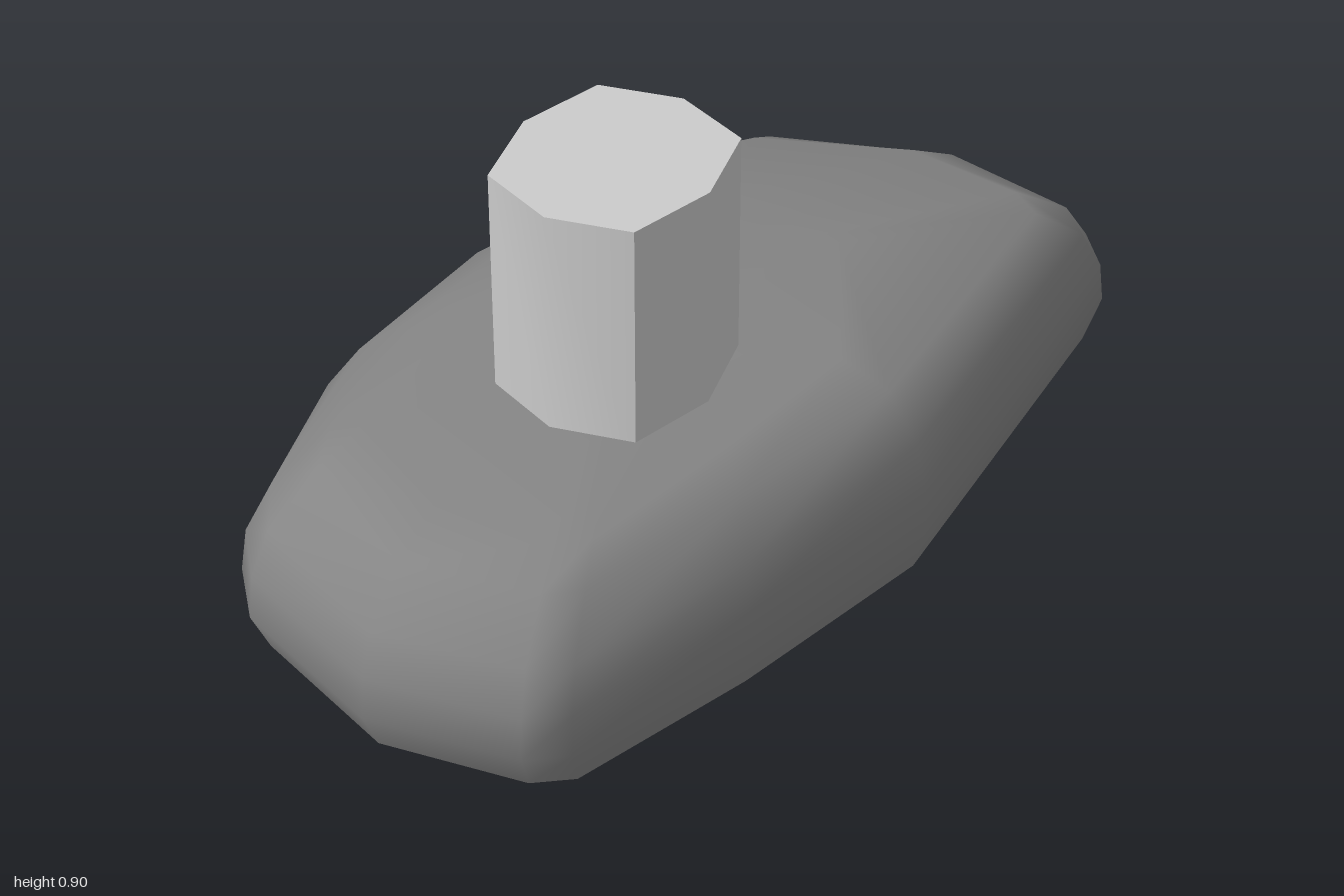
import * as THREE from 'three';
import { toCreasedNormals } from 'three/addons/utils/BufferGeometryUtils.js';

// Widest outline of the base: x, z, shoulder scale, shoulder height, top-edge scale
const OUTLINE = [
  [0.12, -1.0, 0.78, 0.345, 0.31],
  [0.44, -0.94, 0.8, 0.355, 0.34],
  [0.52, -0.85, 0.82, 0.365, 0.37],
  [0.59, 0.0, 0.84, 0.4, 0.66],
  [0.49, 0.47, 0.85, 0.385, 0.72],
  [0.37, 0.87, 0.86, 0.37, 0.78],
  [0.3, 0.93, 0.86, 0.37, 0.78],
  [0.0, 1.0, 0.87, 0.37, 0.76],
  [-0.34, 0.9, 0.83, 0.37, 0.72],
  [-0.44, 0.8, 0.78, 0.365, 0.62],
  [-0.59, 0.36, 0.7, 0.36, 0.46],
  [-0.59, -0.08, 0.68, 0.36, 0.45],
  [-0.41, -0.68, 0.72, 0.355, 0.4],
  [-0.27, -0.84, 0.75, 0.35, 0.35],
];
const TOP = 0.43;

// Scale and height of each ring at one outline corner, from the ground up
function cornerProfile(shoulder, height, topScale) {
  const upper = (1 + shoulder) / 2 + 0.03;
  return [
    [0.96, 0],
    [1, height * 0.25],
    [1 - (1 - upper) * 0.2, height * 0.5],
    [upper, height * 0.75],
    [shoulder, height],
    [topScale, TOP],
  ];
}

function baseGeometry() {
  const n = OUTLINE.length, rings = 6;
  const pos = [], index = [];
  const profiles = OUTLINE.map(([, , s, h, t]) => cornerProfile(s, h, t));
  for (let k = 0; k < rings; k++) {
    OUTLINE.forEach(([x, z], i) => {
      const [s, y] = profiles[i][k];
      pos.push(x * s, y, z * s);
    });
  }
  // Rounded sides
  for (let k = 0; k < rings - 1; k++) {
    for (let i = 0; i < n; i++) {
      const j = (i + 1) % n;
      const a = k * n + i, b = k * n + j;
      index.push(a, a + n, b, b, a + n, b + n);
    }
  }
  // Flat top, sharing its rim with the sides so the shading stays soft
  const topCentre = pos.length / 3;
  pos.push(0.03, TOP, 0.2);
  const rim = (rings - 1) * n;
  for (let i = 0; i < n; i++) index.push(topCentre, rim + ((i + 1) % n), rim + i);

  // Flat underside with its own corners for a sharp lower edge
  const under = pos.length / 3;
  for (let i = 0; i < n; i++) pos.push(...pos.slice(i * 3, i * 3 + 3));
  pos.push(0, 0, 0);
  for (let i = 0; i < n; i++) index.push(under + n, under + i, under + ((i + 1) % n));

  const geo = new THREE.BufferGeometry();
  geo.setAttribute('position', new THREE.Float32BufferAttribute(pos, 3));
  geo.setIndex(index);
  geo.computeVertexNormals();
  return geo;
}

// Eight-sided post: sharp at the diagonal corners, soft at the others
function postGeometry(bottom, top) {
  const points = [];
  for (let i = 0; i < 8; i++) {
    const a = (i * Math.PI) / 4;
    const r = i % 2 ? 1.1 : 1;
    points.push(new THREE.Vector2(Math.cos(a) * 0.203 * r, Math.sin(a) * 0.224 * r));
  }
  const geo = new THREE.ExtrudeGeometry(new THREE.Shape(points), {
    depth: top - bottom,
    bevelEnabled: false,
  });
  geo.rotateX(-Math.PI / 2);
  geo.translate(0.046, bottom, 0.244);
  return toCreasedNormals(geo, 0.7);
}

export function createModel() {
  const group = new THREE.Group();
  const add = (name, geo, color) => {
    const mesh = new THREE.Mesh(geo, new THREE.MeshStandardMaterial({ color }));
    mesh.name = name;
    group.add(mesh);
  };
  add('roundedBase', baseGeometry(), 0x858585);
  add('post', postGeometry(0.4, 0.905), 0xcccccc);
  return group;
}
